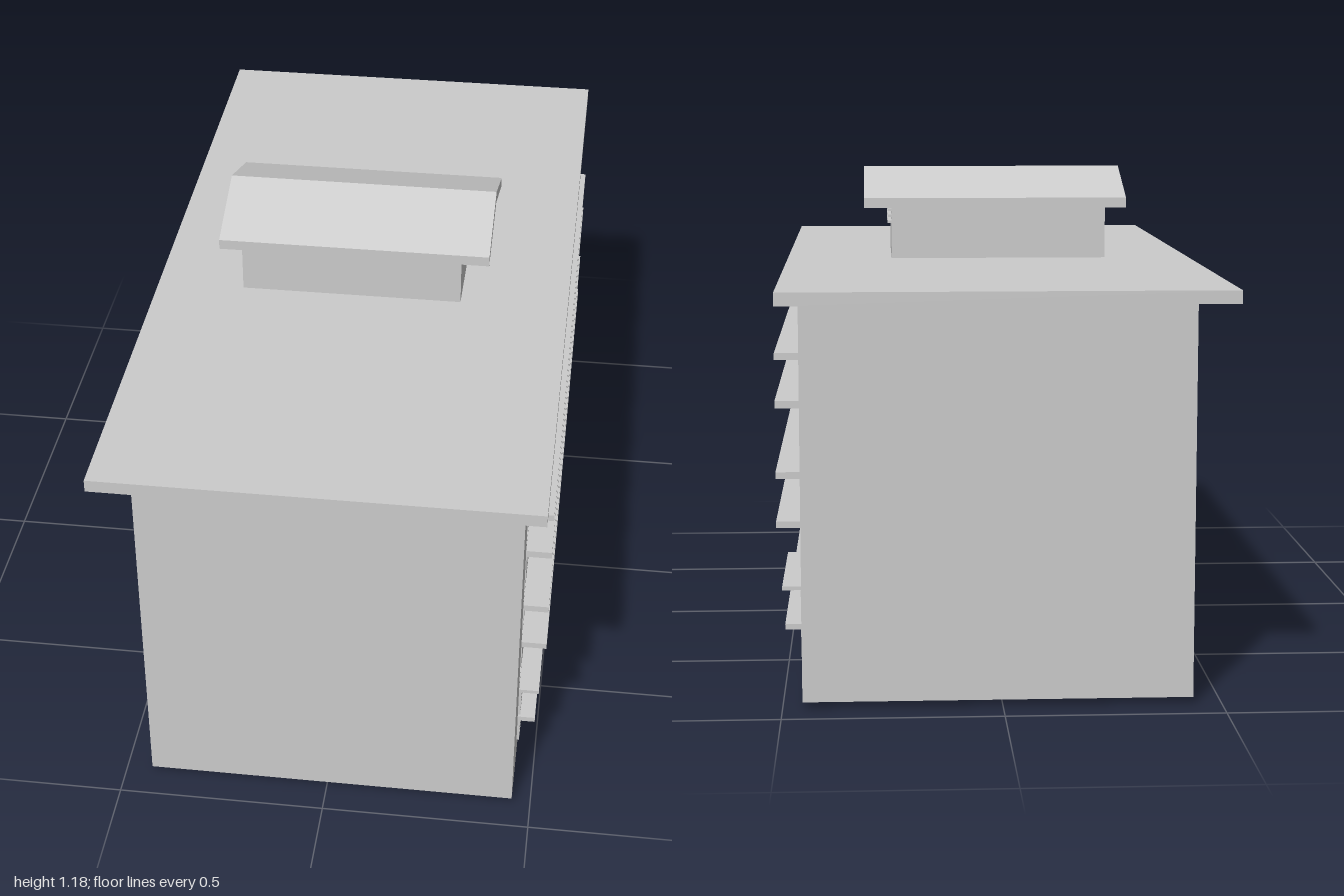
import * as THREE from 'three';

const grey = new THREE.MeshStandardMaterial({ color: 0xcccccc });
const dark = new THREE.MeshStandardMaterial({ color: 0x222222 });

const FACE = 0.455;   // outer plane of the window wall
const BACK = 0.425;   // plane behind the recesses
const columnZ = (i) => 0.756 - 0.1245 * i;
const HALF = 0.04;    // half a window's width

export function createModel() {
  const model = new THREE.Group();

  function box(parent, name, [x0, x1], [y0, y1], [z0, z1], material = grey) {
    const mesh = new THREE.Mesh(new THREE.BoxGeometry(x1 - x0, y1 - y0, z1 - z0), material);
    mesh.position.set((x0 + x1) / 2, (y0 + y1) / 2, (z0 + z1) / 2);
    mesh.name = name;
    parent.add(mesh);
    return mesh;
  }

  // Extrude a (-z, y) outline along x
  function extrudeX(parent, name, shape, x0, x1) {
    const geometry = new THREE.ExtrudeGeometry(shape, { depth: x1 - x0, bevelEnabled: false });
    geometry.rotateY(Math.PI / 2).translate(x0, 0, 0);
    const mesh = new THREE.Mesh(geometry, grey);
    mesh.name = name;
    parent.add(mesh);
  }
  const outline = (points) => new THREE.Shape(points.map(([z, y]) => new THREE.Vector2(-z, y)));
  const rect = (y0, y1, z0, z1) => [[z0, y0], [z1, y0], [z1, y1], [z0, y1]];

  // Main block and flat roof
  box(model, 'mainBlock', [-0.435, BACK], [0.015, 0.925], [-0.92, 0.925]);
  box(model, 'flatRoof', [-0.52, 0.505], [0.925, 0.955], [-1, 1]);

  // List the openings of each storey
  const openings = [];
  for (let i = 0; i < 13; i++) {
    const middle = i >= 5 && i <= 8;
    const door = i === 4 || i === 9;
    const add = (kind, y0, y1) => openings.push({ kind, y0, y1, z: columnZ(i) });
    add('lattice', 0.69, 0.775);
    add('sash', 0.525, 0.665);
    add(middle ? 'bars' : 'lattice', 0.41, middle ? 0.49 : 0.5);
    if (middle) add('bars', 0.25, 0.385);
    else if (door) add('sash', 0.17, 0.385);
    else {
      add('sash', 0.255, 0.385);
      add('bars', 0.165, 0.238);
      add('bars', 0.08, 0.148);
    }
  }

  // Window wall with holes
  const wall = outline(rect(0.015, 0.925, -0.92, 0.925));
  for (const o of openings) wall.holes.push(outline(rect(o.y0, o.y1, o.z - HALF, o.z + HALF)));
  wall.holes.push(outline(rect(0.02, 0.145, -0.165, 0.18)));
  extrudeX(model, 'windowWall', wall, BACK, FACE);

  // Fill each opening with glass, frame and infill
  for (const { kind, y0, y1, z } of openings) {
    const g = new THREE.Group();
    g.name = { lattice: 'latticeWindow', sash: 'panelWindow', bars: 'barredWindow' }[kind];
    model.add(g);
    const zs = [z - HALF, z + HALF];
    const t = 0.005;
    box(g, 'glass', [BACK, 0.432], [y0, y1], zs, dark);
    box(g, 'frameSide', [0.432, FACE], [y0, y1], [zs[0], zs[0] + t]);
    box(g, 'frameSide', [0.432, FACE], [y0, y1], [zs[1] - t, zs[1]]);
    box(g, 'frameSill', [0.432, FACE], [y0, y0 + t], zs);
    if (kind === 'bars') {
      for (let k = 1; k < 7; k++) {
        const bz = zs[0] + k * HALF * 2 / 7;
        box(g, 'bar', [0.447, 0.461], [y0, y1], [bz - 0.003, bz + 0.003]);
      }
    } else if (kind === 'sash') {
      const split = y1 - 0.065;
      box(g, 'lowerPanel', [0.432, 0.445], [y0, split], zs);
      box(g, 'mullion', [0.432, 0.44], [split, y1], [z - 0.002, z + 0.002]);
    } else {
      box(g, 'mullion', [0.432, 0.44], [y0, y1 - 0.035], [z - 0.002, z + 0.002]);
      for (const dy of [0.014, 0.025, 0.036])
        box(g, 'latticeRail', [0.432, 0.44], [y1 - dy - 0.0015, y1 - dy + 0.0015], zs);
    }
  }

  // Projecting ledges: [bottom, top, outer x, z range]
  const full = [-0.785, 0.793];
  const ledges = [
    [0.779, 0.795, 0.515, full], [0.668, 0.685, 0.515, full],
    [0.504, 0.52, 0.515, full], [0.39, 0.405, 0.515, full],
    [0.243, 0.252, 0.503, [0.3, 0.793]], [0.243, 0.252, 0.503, [-0.785, -0.42]],
    [0.15, 0.163, 0.497, full],
  ];
  for (const [y0, y1, x, z] of ledges) box(model, 'ledge', [FACE - 0.001, x], [y0, y1], z);

  // Entrance: dark opening, upper bars and six low door panels
  const entrance = new THREE.Group();
  entrance.name = 'entrance';
  model.add(entrance);
  box(entrance, 'doorGlass', [BACK, 0.435], [0.02, 0.145], [-0.165, 0.18], dark);
  const step = 0.345 / 6;
  for (let i = 0; i < 6; i++) {
    const z0 = -0.165 + i * step;
    box(entrance, 'doorPanel', [0.443, 0.46], [0, 0.06], [z0 + 0.003, z0 + step - 0.003]);
    for (let k = 0; k < 5; k++) {
      const z = z0 + (k + 0.5) * step / 5;
      box(entrance, 'doorBar', [0.445, 0.457], [0.072, 0.143], [z - 0.0035, z + 0.0035]);
    }
  }
  box(entrance, 'doorRail', [0.445, 0.457], [0.06, 0.073], [-0.165, 0.18]);

  // Rooftop house with a pitched roof
  const house = new THREE.Group();
  house.name = 'rooftopHouse';
  model.add(house);
  extrudeX(house, 'houseWalls', outline([
    [0.175, 0.955], [-0.147, 0.955], [-0.147, 1.095], [0.014, 1.15], [0.175, 1.095],
  ]), -0.305, 0.24);
  extrudeX(house, 'pitchedRoof', outline([
    [0.208, 1.085], [0.014, 1.152], [-0.183, 1.085], [-0.183, 1.11], [0.014, 1.182], [0.208, 1.11],
  ]), -0.355, 0.31);
  // Gable louvres
  for (const y of [1.045, 1.06, 1.075])
    box(house, 'gableLouvre', [0.239, 0.25], [y - 0.003, y + 0.003], [-0.1, 0.13]);

  return model;
}
